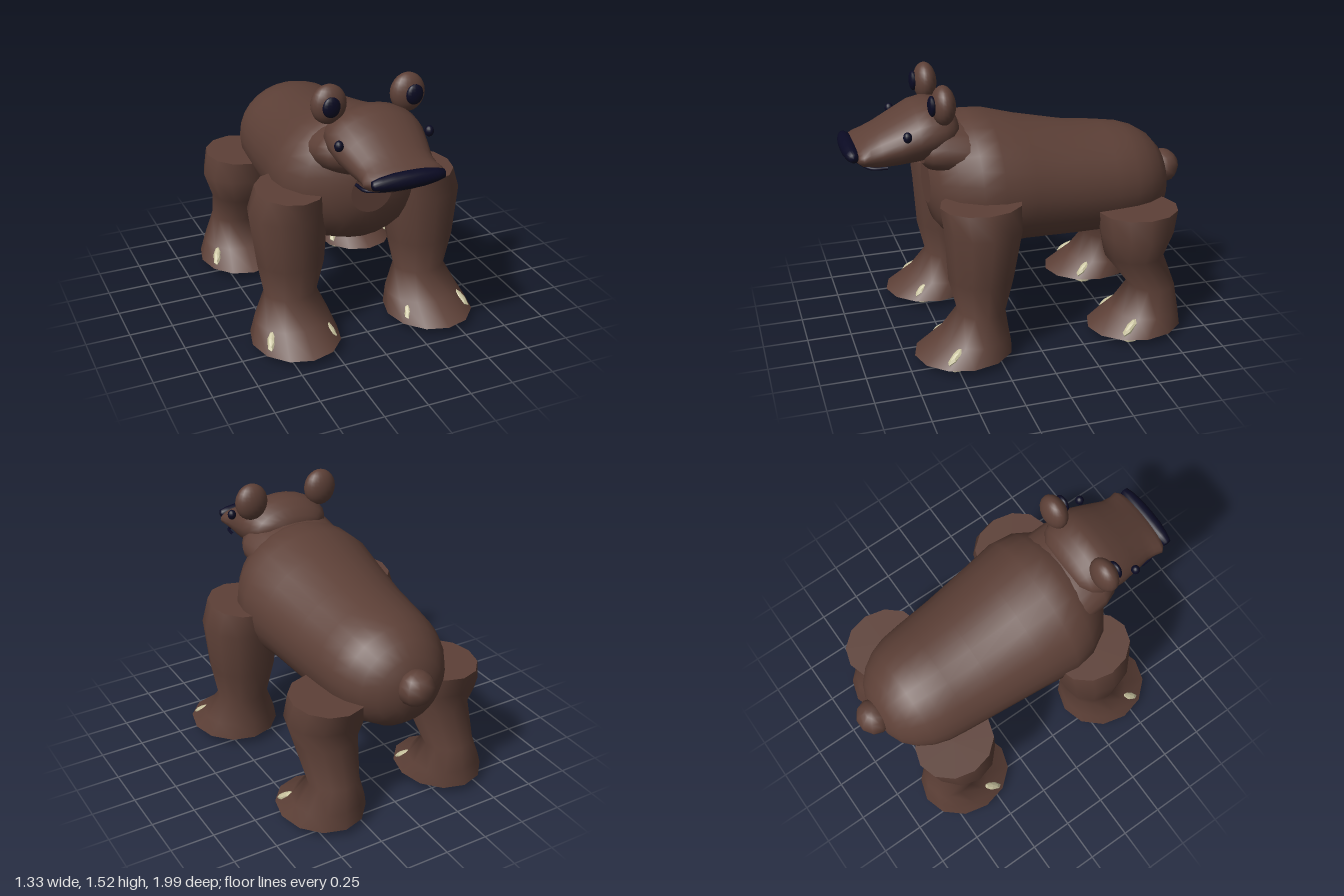
import * as THREE from 'three';

const brown = new THREE.MeshStandardMaterial({ color: 0x5d4037 });
brown.name = 'brownFur';
const dark = new THREE.MeshStandardMaterial({ color: 0x0a0a23 });
dark.name = 'darkFeatures';
const cream = new THREE.MeshStandardMaterial({ color: 0xc8c29e, flatShading: true });
cream.name = 'creamClaw';

// Skin of elliptical rings [t, x0, x1, lo, hi].
// axis 'y': t is height, rings run bottom to top, lo/hi are z limits.
// axis 'z': t is depth, rings run front to back, lo/hi are y limits.
function loft(rings, axis, sides) {
  const pos = [], index = [];
  const put = (t, u, v) => (axis === 'y' ? pos.push(u, t, v) : pos.push(u, v, t));
  const ringPoints = ([t, x0, x1, lo, hi]) => {
    for (let j = 0; j < sides; j++) {
      const a = (j / sides) * Math.PI * 2;
      put(t, (x0 + x1) / 2 + ((x1 - x0) / 2) * Math.cos(a), (lo + hi) / 2 + ((hi - lo) / 2) * Math.sin(a));
    }
  };
  rings.forEach(ringPoints);
  for (let i = 0; i < rings.length - 1; i++) {
    for (let j = 0; j < sides; j++) {
      const k = (j + 1) % sides;
      const a = i * sides + j, b = a + sides, c = (i + 1) * sides + k, d = i * sides + k;
      index.push(a, b, c, a, c, d);
    }
  }
  // flat end caps
  [rings[0], rings[rings.length - 1]].forEach((r, end) => {
    const base = pos.length / 3;
    ringPoints(r);
    put(r[0], (r[1] + r[2]) / 2, (r[3] + r[4]) / 2);
    for (let j = 0; j < sides; j++) {
      const p = base + j, q = base + (j + 1) % sides;
      index.push(base + sides, end ? q : p, end ? p : q);
    }
  });
  const g = new THREE.BufferGeometry();
  g.setAttribute('position', new THREE.Float32BufferAttribute(pos, 3));
  g.setIndex(index);
  g.computeVertexNormals();
  return g;
}

export function createModel() {
  const model = new THREE.Group();
  model.name = 'bear';

  const add = (name, geometry, material, parent = model) => {
    const m = new THREE.Mesh(geometry, material);
    m.name = name;
    parent.add(m);
    return m;
  };
  const ball = (name, material, c, r, w = 20, h = 14) => {
    const m = add(name, new THREE.SphereGeometry(1, w, h), material);
    m.position.set(...c);
    m.scale.set(...r);
    return m;
  };
  // symmetric rings [z, halfWidth, bottom, top]
  const sym = (rings) => rings.map(([z, w, lo, hi]) => [z, -w, w, lo, hi]);

  // Trunk
  add('body', loft(sym([
    [0.53, 0.12, 0.78, 1.02], [0.5, 0.24, 0.68, 1.14], [0.42, 0.35, 0.58, 1.25],
    [0.3, 0.42, 0.525, 1.293], [0.18, 0.44, 0.51, 1.285], [0, 0.415, 0.525, 1.235],
    [-0.3, 0.38, 0.515, 1.17], [-0.5, 0.36, 0.512, 1.148], [-0.62, 0.345, 0.515, 1.13],
    [-0.71, 0.315, 0.525, 1.1], [-0.79, 0.265, 0.55, 1.05], [-0.85, 0.2, 0.6, 0.98],
    [-0.885, 0.12, 0.67, 0.9], [-0.9, 0.03, 0.76, 0.82],
  ]), 'z', 28), brown);
  ball('tail', brown, [0, 0.835, -0.905], [0.105, 0.1, 0.095], 10, 8);

  // Neck and head
  add('neck', loft(sym([
    [0.57, 0.2, 1.04, 1.22], [0.54, 0.26, 1.01, 1.27], [0.46, 0.295, 0.98, 1.3], [0.3, 0.3, 0.96, 1.26],
  ]), 'z', 24), brown);
  add('head', loft(sym([
    [0.945, 0.12, 1.12, 1.18], [0.925, 0.2, 1.09, 1.2], [0.9, 0.225, 1.07, 1.215],
    [0.86, 0.215, 1.05, 1.238], [0.8, 0.215, 1.04, 1.27], [0.7, 0.24, 1.045, 1.325],
    [0.6, 0.262, 1.055, 1.378], [0.53, 0.262, 1.065, 1.394], [0.46, 0.25, 1.09, 1.385],
    [0.41, 0.22, 1.13, 1.35], [0.37, 0.16, 1.19, 1.31], [0.36, 0.06, 1.23, 1.27],
  ]), 'z', 24), brown);

  // Nose: blunt-ended bar lying along x
  const noseProfile = [[0, -0.2], [0.024, -0.196], [0.036, -0.15], [0.045, -0.08], [0.047, 0],
    [0.045, 0.08], [0.036, 0.15], [0.024, 0.196], [0, 0.2]].map(([r, y]) => new THREE.Vector2(r, y));
  const nose = add('nose', new THREE.LatheGeometry(noseProfile, 16), dark);
  nose.rotation.z = Math.PI / 2;
  nose.position.set(0, 1.155, 0.952);

  // Mouth line wrapping the muzzle
  const mouthPath = new THREE.CatmullRomCurve3([
    [-0.205, 1.087, 0.775], [-0.19, 1.087, 0.86], [-0.11, 1.097, 0.912], [0, 1.102, 0.93],
    [0.11, 1.097, 0.912], [0.19, 1.087, 0.86], [0.205, 1.087, 0.775],
  ].map((p) => new THREE.Vector3(...p)));
  add('mouth', new THREE.TubeGeometry(mouthPath, 32, 0.009, 8), dark);

  // Leg rings [y, inner x, outer x, back z, front z]
  const frontRings = [
    [0.045, 0.16, 0.665, 0.155, 0.71], [0.14, 0.19, 0.62, 0.17, 0.565], [0.28, 0.25, 0.55, 0.19, 0.46],
    [0.48, 0.205, 0.588, 0.14, 0.508], [0.77, 0.18, 0.623, 0.09, 0.525], [0.9, 0.2, 0.575, 0.085, 0.54],
  ];
  const backRings = [
    [0.045, 0.15, 0.632, -0.87, -0.315], [0.14, 0.18, 0.585, -0.855, -0.46], [0.28, 0.23, 0.52, -0.834, -0.567],
    [0.48, 0.18, 0.545, -0.76, -0.417], [0.62, 0.14, 0.59, -0.81, -0.39], [0.745, 0.16, 0.56, -0.84, -0.38],
  ];

  const clawGeometry = new THREE.SphereGeometry(1, 7, 5);
  for (const side of [1, -1]) {
    const label = side > 0 ? 'left' : 'right';

    // Ears and eyes
    ball(label + 'Ear', brown, [side * 0.225, 1.415, 0.47], [0.098, 0.108, 0.065]);
    ball(label + 'InnerEar', dark, [side * 0.236, 1.42, 0.535], [0.05, 0.056, 0.022], 12, 10);
    ball(label + 'Eye', dark, [side * 0.255, 1.265, 0.673], [0.025, 0.03, 0.024], 12, 10);

    for (const [kind, rings, cx, cz] of [['Front', frontRings, 0.415, 0.515], ['Back', backRings, 0.39, -0.51]]) {
      const placed = rings.map(([y, a, b, lo, hi]) => (side > 0 ? [y, a, b, lo, hi] : [y, -b, -a, lo, hi]));
      add(label + kind + 'Leg', loft(placed, 'y', 12), brown);

      // Claws: three under the sole, one on each flank of the foot
      const claws = new THREE.Group();
      claws.name = label + kind + 'Claws';
      model.add(claws);
      for (const s of [-1, 0, 1]) {
        const low = add('soleClaw', clawGeometry, cream, claws);
        low.position.set(side * cx + s * 0.14, 0.03, cz);
        low.scale.set(0.062, 0.03, 0.055);
      }
      for (const s of [-1, 1]) {
        const claw = add('sideClaw', clawGeometry, cream, claws);
        claw.position.set(side * cx + s * 0.168, 0.1, cz);
        claw.scale.set(0.026, 0.022, 0.072);
        claw.lookAt(side * cx + s * 0.195, 0.06, cz + 0.055);
      }
    }
  }
  return model;
}
